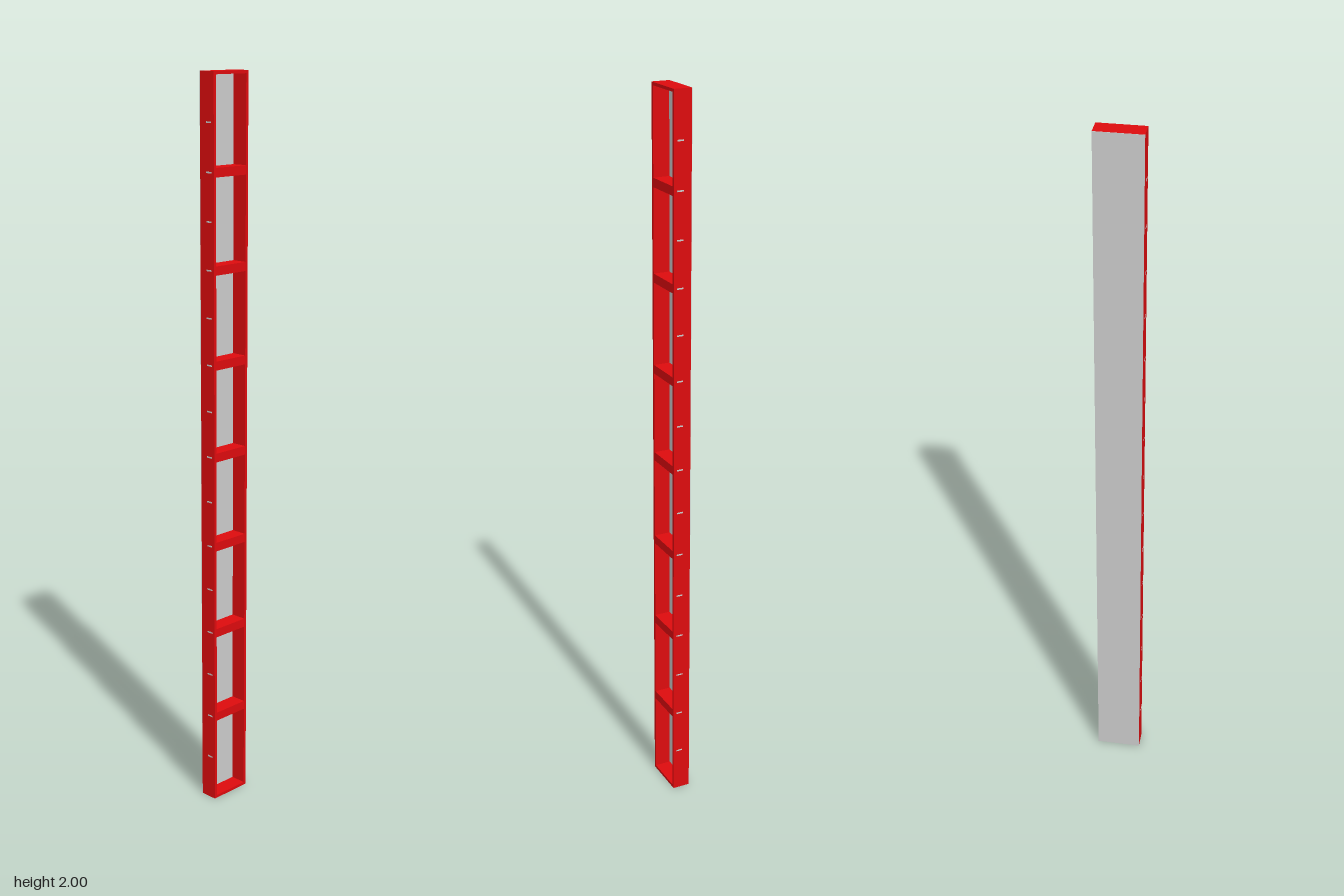
import * as THREE from 'three';

const W = 0.125, H = 2, D = 0.05, WALL = 0.008, SHELF = 0.024, BACK = 0.005, CELLS = 8;

export function createModel() {
  const model = new THREE.Group();
  const red = new THREE.MeshStandardMaterial({ color: 0xdd0b0e });
  const grey = new THREE.MeshStandardMaterial({ color: 0xcccccc });
  const white = new THREE.MeshStandardMaterial({ color: 0xffffff });

  const box = (name, w, h, d, x, y, z, material) => {
    const mesh = new THREE.Mesh(new THREE.BoxGeometry(w, h, d), material);
    mesh.name = name;
    mesh.position.set(x, y, z);
    model.add(mesh);
    return mesh;
  };

  // Open frame with one rectangular hole per cell
  const outline = new THREE.Shape();
  const rect = (path, x0, y0, x1, y1) =>
    path.moveTo(x0, y0).lineTo(x1, y0).lineTo(x1, y1).lineTo(x0, y1).closePath();
  rect(outline, -W / 2, 0, W / 2, H);
  const pitch = H / CELLS;
  for (let i = 0; i < CELLS; i++) {
    const bottom = i === 0 ? WALL : i * pitch + SHELF / 2;
    const top = i === CELLS - 1 ? H - WALL : (i + 1) * pitch - SHELF / 2;
    const hole = new THREE.Path();
    rect(hole, -W / 2 + WALL, bottom, W / 2 - WALL, top);
    outline.holes.push(hole);
  }
  const frame = new THREE.Mesh(
    new THREE.ExtrudeGeometry(outline, { depth: D - 0.001, bevelEnabled: false }), red);
  frame.name = 'dividedFrame';
  frame.position.z = -D / 2 + 0.001;
  model.add(frame);

  // Back panel: a thin outer skin and the floor seen inside the cells
  box('backSkin', W, H, 0.001, 0, H / 2, -D / 2 + 0.0005, grey);
  box('backPanel', W - WALL, H - WALL, BACK - 0.001, 0, H / 2, -D / 2 + (BACK + 0.001) / 2, grey);

  // Small pale marks along both sides, two per cell
  for (const side of [-1, 1]) {
    for (let i = 1; i < CELLS * 2; i++) {
      box('sideMark', 0.001, 0.004, 0.018, side * W / 2, i * pitch / 2, 0.007, white);
    }
  }
  return model;
}
